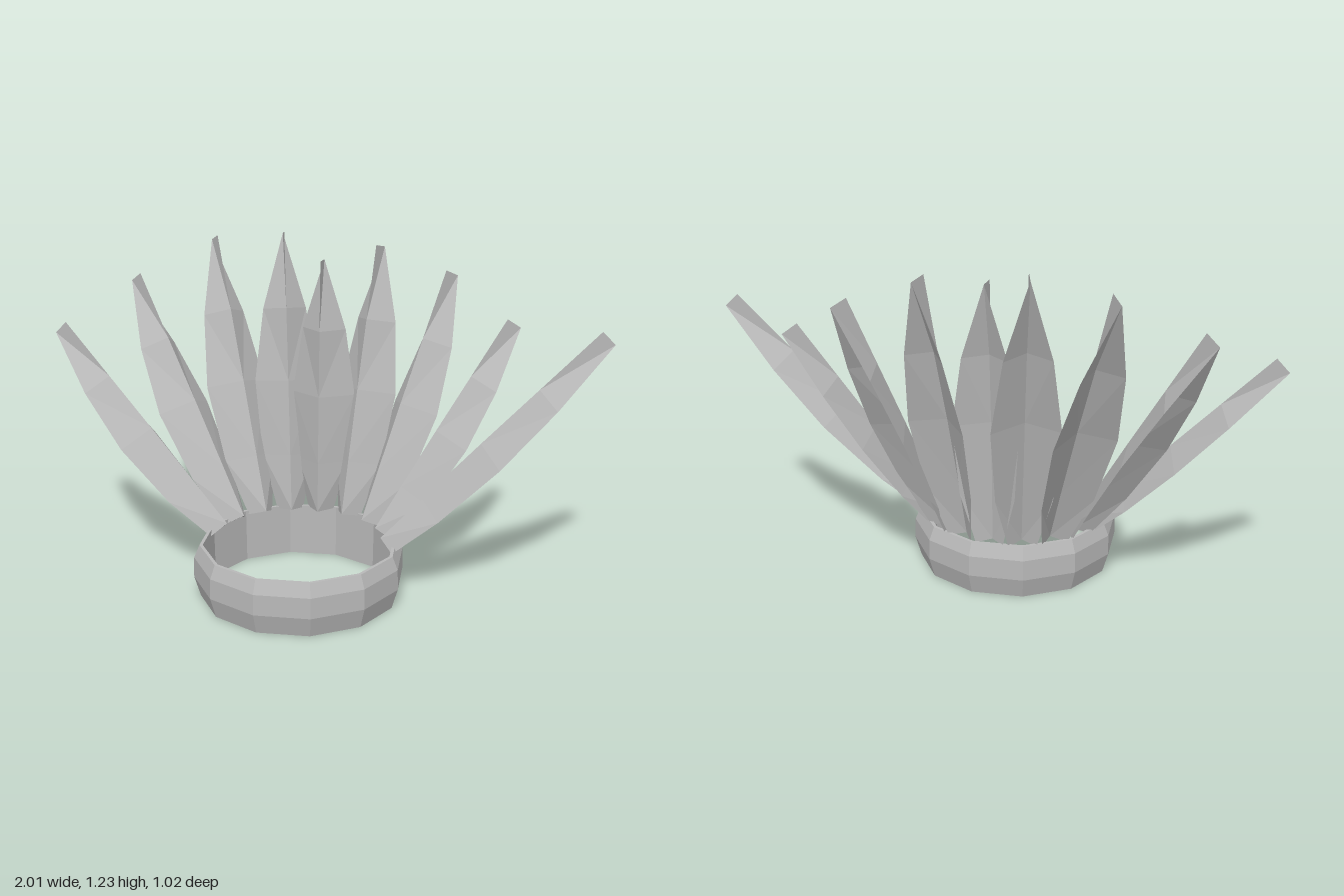
import * as THREE from 'three';

// Ring centre on the ground plane
const CX = -0.005, CZ = 0.12;

// Rows along a feather: [position, half width, edge depth, ridge depth, back depth]
const ROWS = [
  [0, 0.05, -0.028, 0.03, 0.014],
  [0.2, 0.1, -0.042, 0.032, 0.018],
  [0.47, 0.12, -0.048, 0.034, 0.02],
  [0.73, 0.082, -0.044, 0.033, 0.014],
  [1, 0, -0.032, 0.032, -0.032],
];

// Folded blade growing along +y: ridge on the inner side (+z), valley behind,
// ending in an upright edge at the tip
function featherGeometry(length) {
  const pos = [], idx = [];
  for (const [t, w, edge, ridge, back] of ROWS) {
    const y = t * length;
    pos.push(w, y, edge, 0, y, back, -w, y, edge, 0, y, ridge);
  }
  for (let r = 0; r < ROWS.length - 1; r++) {
    for (let i = 0; i < 4; i++) {
      const a = r * 4 + i, b = r * 4 + (i + 1) % 4;
      // Diagonals mirror each other on the left and right halves
      if (i % 2) idx.push(a, b, b + 4, a, b + 4, a + 4);
      else idx.push(a, b, a + 4, b, b + 4, a + 4);
    }
  }
  idx.push(0, 3, 1, 3, 2, 1);
  const g = new THREE.BufferGeometry();
  g.setAttribute('position', new THREE.Float32BufferAttribute(pos, 3));
  g.setIndex(idx);
  const flat = g.toNonIndexed();
  flat.computeVertexNormals();
  return flat;
}

export function createModel() {
  const group = new THREE.Group();
  group.name = 'featherHeaddress';
  const grey = new THREE.MeshStandardMaterial({ color: 0xb8b8b8, flatShading: true });
  grey.name = 'grey';

  // Twelve-sided head band, slightly bulged outside and straight inside
  const profile = [
    [0.36, 0], [0.382, 0.075], [0.38, 0.15], [0.36, 0.198],
    [0.348, 0.198], [0.345, 0], [0.36, 0],
  ].map(([r, y]) => new THREE.Vector2(r, y));
  const band = new THREE.Mesh(new THREE.LatheGeometry(profile, 12), grey);
  band.name = 'headBand';
  band.position.set(CX, 0, CZ);
  group.add(band);

  // Feathers every 20 degrees round the back: tip radius and tip height
  const tips = [
    [1.055, 0.968], [0.81, 0.948], [0.705, 1.095], [0.545, 1.19], [0.36, 1.155],
    [0.55, 1.225], [0.745, 1.185], [0.875, 1.043], [0.975, 0.895],
  ];
  const baseR = 0.315, baseY = 0.195;
  const up = new THREE.Vector3(0, 1, 0);
  tips.forEach(([r, y], i) => {
    const a = THREE.MathUtils.degToRad(20 * (i + 1));
    const radial = new THREE.Vector3(Math.cos(a), 0, -Math.sin(a));
    const along = radial.clone().multiplyScalar(r - baseR).addScaledVector(up, y - baseY);
    const length = along.length();
    along.normalize();
    const across = new THREE.Vector3().crossVectors(radial, up);
    const inward = new THREE.Vector3().crossVectors(across, along);
    const feather = new THREE.Mesh(featherGeometry(length), grey);
    feather.name = 'feather' + (i + 1);
    feather.quaternion.setFromRotationMatrix(
      new THREE.Matrix4().makeBasis(across, along, inward));
    feather.position.set(CX, baseY, CZ).addScaledVector(radial, baseR);
    group.add(feather);
  });
  return group;
}
